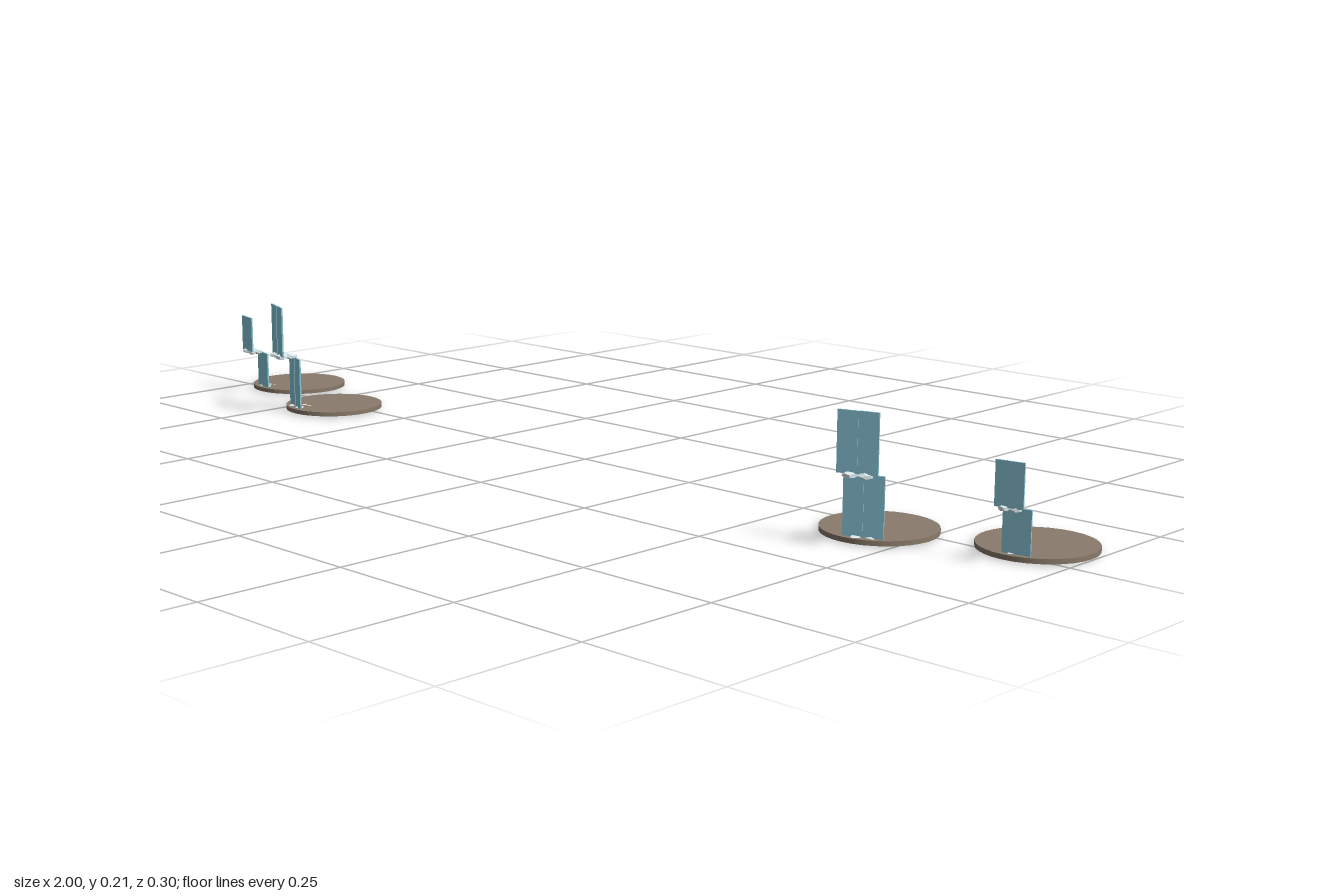
import * as THREE from 'three';

const stone = new THREE.MeshStandardMaterial({ color: 0x8a7b6b });
const water = new THREE.MeshStandardMaterial({ color: 0x8ecbde });
const foam = new THREE.MeshStandardMaterial({ color: 0xdcebef, flatShading: true });

const DISC_R = 0.094;

function add(parent, name, geometry, material, x, y, z) {
  const mesh = new THREE.Mesh(geometry, material);
  mesh.name = name;
  mesh.position.set(x, y, z);
  parent.add(mesh);
  return mesh;
}

// A sheet of falling water: thin upright strips side by side
function waterSheet(parent, name, { width, strips }, y0, y1, z) {
  const sheet = new THREE.Group();
  sheet.name = name;
  const w = width / strips;
  for (let i = 0; i < strips; i++) {
    const strip = new THREE.BoxGeometry(w, y1 - y0, 0.003);
    const stagger = i % 2 ? 0.0005 : -0.0005;
    add(sheet, 'waterStrip', strip, water, (i + 0.5) * w - width / 2, (y0 + y1) / 2, z + stagger);
  }
  parent.add(sheet);
}

// A patch of flattened faceted foam lumps: [x, z, size, turn]
const LUMPS = [
  [-0.45, 0.45, 0.5, 0.3],
  [0.5, 0.35, 0.48, 1.1],
  [0.2, -0.5, 0.5, 2.0],
  [-0.4, -0.3, 0.45, 0.8],
];
function foamPatch(parent, name, radius, y, z) {
  const patch = new THREE.Group();
  patch.name = name;
  for (const [lx, lz, size, turn] of LUMPS) {
    const lump = add(patch, 'foamLump', new THREE.DodecahedronGeometry(radius * size, 0), foam,
      lx * radius, y + lz * 0.002, z + lz * radius);
    lump.scale.y = 0.0055 / (radius * size);
    lump.rotation.y = turn;
  }
  parent.add(patch);
}

// A round pool with a two-step fall on its rim; yaw turns the fall outward
function fallPool(name, x, z, f) {
  const pool = new THREE.Group();
  pool.name = name;
  pool.position.set(x, 0, z);
  add(pool, 'stoneDisc', new THREE.CylinderGeometry(DISC_R, DISC_R, 0.008, 32), stone, 0, 0.006, 0);

  const fall = new THREE.Group();
  fall.name = 'waterfall';
  fall.rotation.y = Math.sign(x) * f.yaw;
  waterSheet(fall, 'lowerFall', f, 0.01, f.mid, f.lowerZ);
  waterSheet(fall, 'upperFall', f, f.mid + 0.007, f.top, f.upperZ);
  foamPatch(fall, 'lowerFoam', f.foam, 0.0065, f.lowerZ - 0.012);
  foamPatch(fall, 'upperFoam', f.foam, f.mid + 0.0045, f.upperZ - 0.011);
  pool.add(fall);
  return pool;
}

export function createModel() {
  const model = new THREE.Group();
  model.name = 'waterfallPools';
  const inner = { yaw: 0.335, width: 0.066, strips: 4, mid: 0.108, top: 0.212, lowerZ: 0.0785, upperZ: 0.112, foam: 0.026 };
  const outer = { yaw: 0.19, width: 0.046, strips: 2, mid: 0.08, top: 0.157, lowerZ: 0.081, upperZ: 0.114, foam: 0.019 };
  for (const [side, s] of [['left', 1], ['right', -1]]) {
    model.add(fallPool(side + 'InnerPool', s * 0.677, 0.031, inner));
    model.add(fallPool(side + 'OuterPool', s * 0.906, -0.058, outer));
  }
  return model;
}
